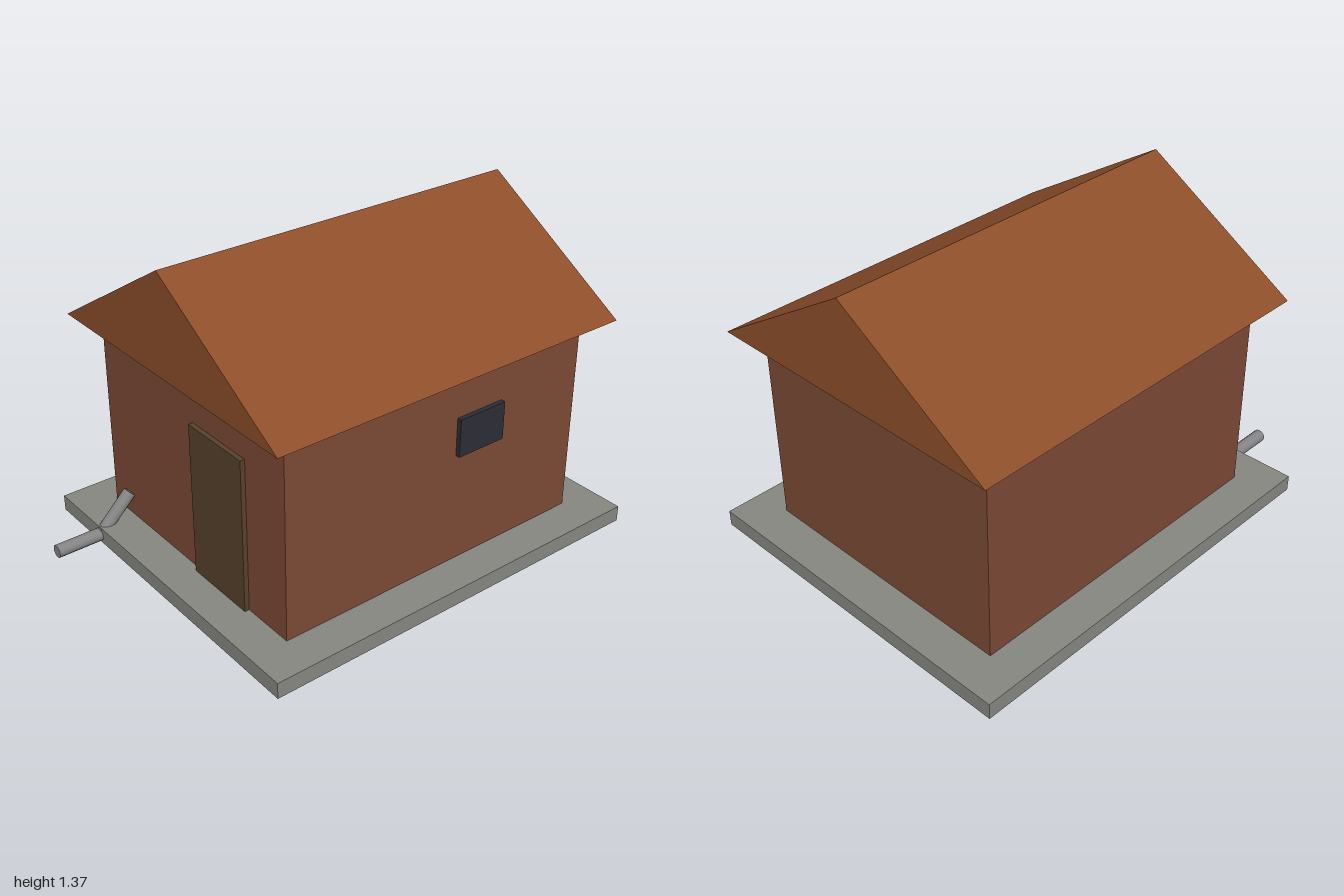
import * as THREE from 'three';

const material = (name, color) => {
  const m = new THREE.MeshStandardMaterial({ color });
  m.name = name;
  return m;
};

export function createModel() {
  const group = new THREE.Group();
  const concrete = material('concrete', 0x878782);
  const brick = material('brick', 0x7c4a35);
  const tile = material('roof tile', 0x8d4e2a);
  const wood = material('dark wood', 0x57422c);
  const glass = material('dark glass', 0x2d2d38);
  const metal = material('pipe metal', 0x858585);

  const add = (name, geometry, mat) => {
    const mesh = new THREE.Mesh(geometry, mat);
    mesh.name = name;
    group.add(mesh);
    return mesh;
  };

  // Box given by its extents on each axis
  const box = (name, mat, [x0, x1], [y0, y1], [z0, z1]) =>
    add(name, new THREE.BoxGeometry(x1 - x0, y1 - y0, z1 - z0), mat)
      .position.set((x0 + x1) / 2, (y0 + y1) / 2, (z0 + z1) / 2);

  box('foundation', concrete, [-0.765, 0.765], [0, 0.07], [-1, 0.8]);
  box('walls', brick, [-0.6, 0.6], [0.07, 0.94], [-0.832, 0.635]);
  box('door', wood, [0.033, 0.365], [0.07, 0.738], [0.625, 0.655]);
  box('window', glass, [0.59, 0.62], [0.555, 0.72], [-0.413, -0.182]);

  // Gabled roof: a solid triangular prism
  const gable = new THREE.Shape([
    new THREE.Vector2(-0.698, 0.94),
    new THREE.Vector2(0.698, 0.94),
    new THREE.Vector2(0, 1.37),
  ]);
  const roof = new THREE.ExtrudeGeometry(gable, { depth: 1.666, bevelEnabled: false });
  add('roof', roof.translate(0, 0, -0.932), tile);

  // Drain pipe: a sloping piece from the wall and a level outlet
  const pipe = (name, from, to) => {
    const a = new THREE.Vector3(...from);
    const b = new THREE.Vector3(...to);
    const dir = b.clone().sub(a);
    const mesh = add(name, new THREE.CylinderGeometry(0.028, 0.028, dir.length(), 12), metal);
    mesh.position.copy(a).add(b).multiplyScalar(0.5);
    mesh.quaternion.setFromUnitVectors(new THREE.Vector3(0, 1, 0), dir.normalize());
  };
  pipe('drainSlope', [-0.468, 0.18, 0.645], [-0.468, 0.033, 0.792]);
  pipe('drainOutlet', [-0.468, 0.033, 0.78], [-0.468, 0.033, 1]);

  return group;
}
